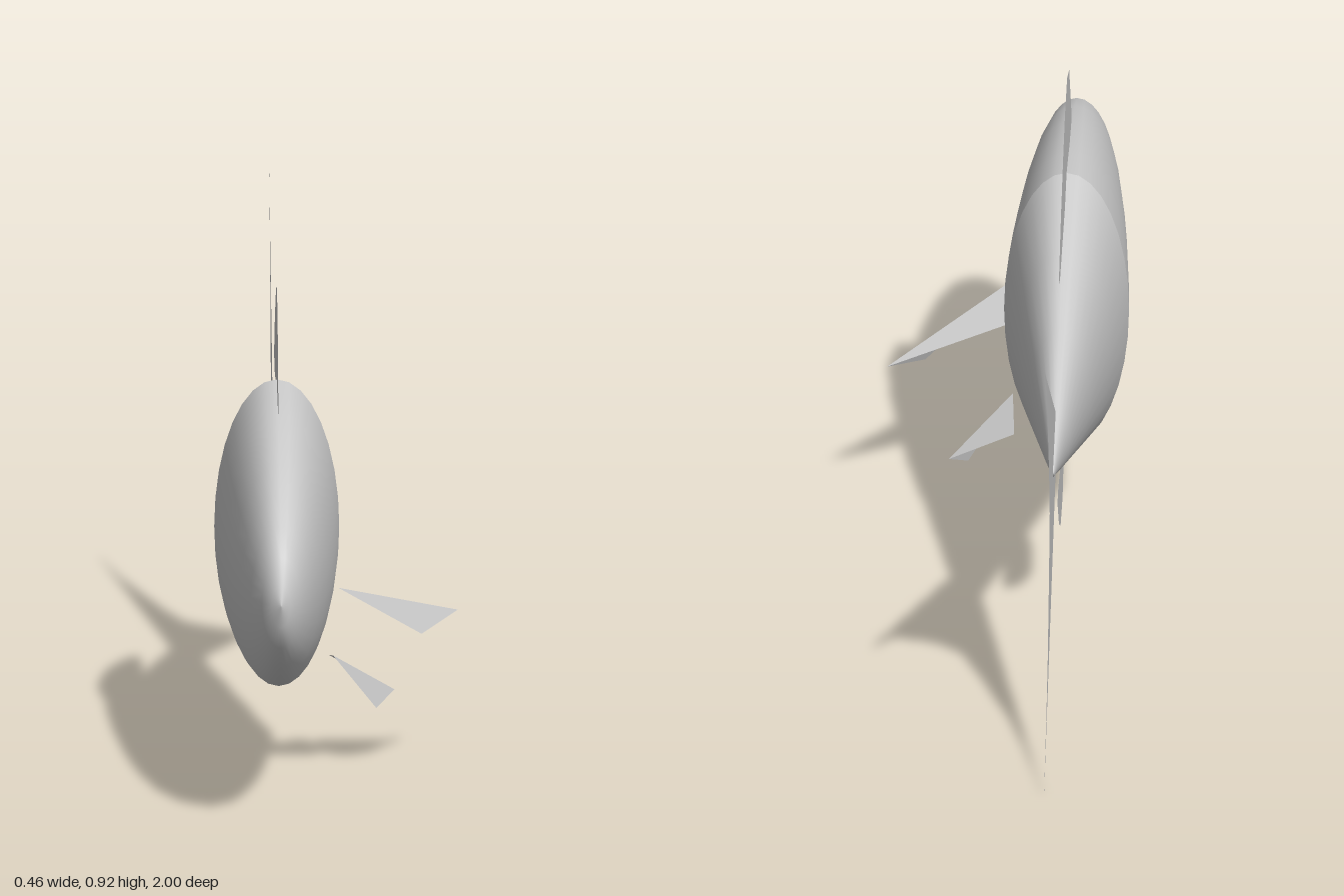
import * as THREE from 'three';

const MID_X = -0.114; // body centre plane
const MID_Y = 0.455;

export function createModel() {
  const fish = new THREE.Group();
  fish.name = 'fish';
  const grey = new THREE.MeshStandardMaterial({ color: 0xcccccc, side: THREE.DoubleSide });
  grey.name = 'pale grey';

  const add = (name, geometry) => {
    const mesh = new THREE.Mesh(geometry, grey);
    mesh.name = name;
    fish.add(mesh);
    return mesh;
  };

  // Elliptical body section from a profile of [relative radius, z], tail to nose
  const bodySection = (name, profile) => {
    const geometry = new THREE.LatheGeometry(profile.map(([r, z]) => new THREE.Vector2(r, z)), 32);
    geometry.rotateX(Math.PI / 2);
    geometry.scale(0.119, 0.285, 1);
    add(name, geometry).position.set(MID_X, MID_Y, 0);
  };

  // Flat fin on the centre plane, outlined by [z, y]
  const flatFin = (name, outline) => {
    const shape = new THREE.Shape(outline.map(([z, y]) => new THREE.Vector2(z, y)));
    const geometry = new THREE.ShapeGeometry(shape);
    geometry.rotateY(-Math.PI / 2);
    add(name, geometry).position.x = MID_X;
  };

  // Side fin: two triangles folded along the a-b line
  const foldedFin = (name, a, b, c, d) => {
    const geometry = new THREE.BufferGeometry();
    const corners = [a, b, d, a, c, b].flat();
    geometry.setAttribute('position', new THREE.Float32BufferAttribute(corners, 3));
    geometry.computeVertexNormals();
    add(name, geometry);
  };

  // Body: tapered rear and rounded front, meeting at a crease
  bodySection('rearBody', [[0, -0.5], [0.03, -0.495], [0.06, -0.47], [0.22, -0.35], [0.48, -0.15], [0.74, 0.05], [1, 0.25]]);
  bodySection('frontBody', [
    [1, 0.25], [0.965, 0.36], [0.92, 0.46], [0.85, 0.58], [0.75, 0.71],
    [0.63, 0.82], [0.48, 0.91], [0.31, 0.966], [0.15, 0.99], [0, 1],
  ]);

  // Centre-line fins
  flatFin('dorsalFin', [
    [0.535, 0.725], [0.395, 0.89], [0.28, 0.925], [0.16, 0.9], [0.06, 0.857],
    [-0.06, 0.792], [-0.17, 0.71], [-0.13, 0.682], [0.2, 0.712], [0.3, 0.722],
  ]);
  flatFin('analFin', [
    [0.12, 0.25], [0.1, 0.225], [0.03, 0.162], [-0.08, 0.153], [-0.17, 0.197],
    [-0.25, 0.277], [-0.225, 0.29], [-0.02, 0.277],
  ]);
  flatFin('tailFin', [
    [-0.35, 0.515], [-1, 0.905], [-0.865, 0.795], [-0.785, 0.68], [-0.715, 0.555], [-0.68, 0.455],
    [-0.715, 0.355], [-0.785, 0.205], [-0.865, 0.115], [-1, 0.005], [-0.35, 0.395],
  ]);

  // Left side fins
  foldedFin('pectoralFin', [0, 0.39, 0.515], [0.23, 0.303, 0.305], [0.16, 0.276, 0.4], [0, 0.362, 0.38]);
  foldedFin('pelvicFin', [-0.008, 0.226, 0.36], [0.11, 0.137, 0.25], [0.075, 0.111, 0.3], [-0.015, 0.2, 0.23]);

  return fish;
}
